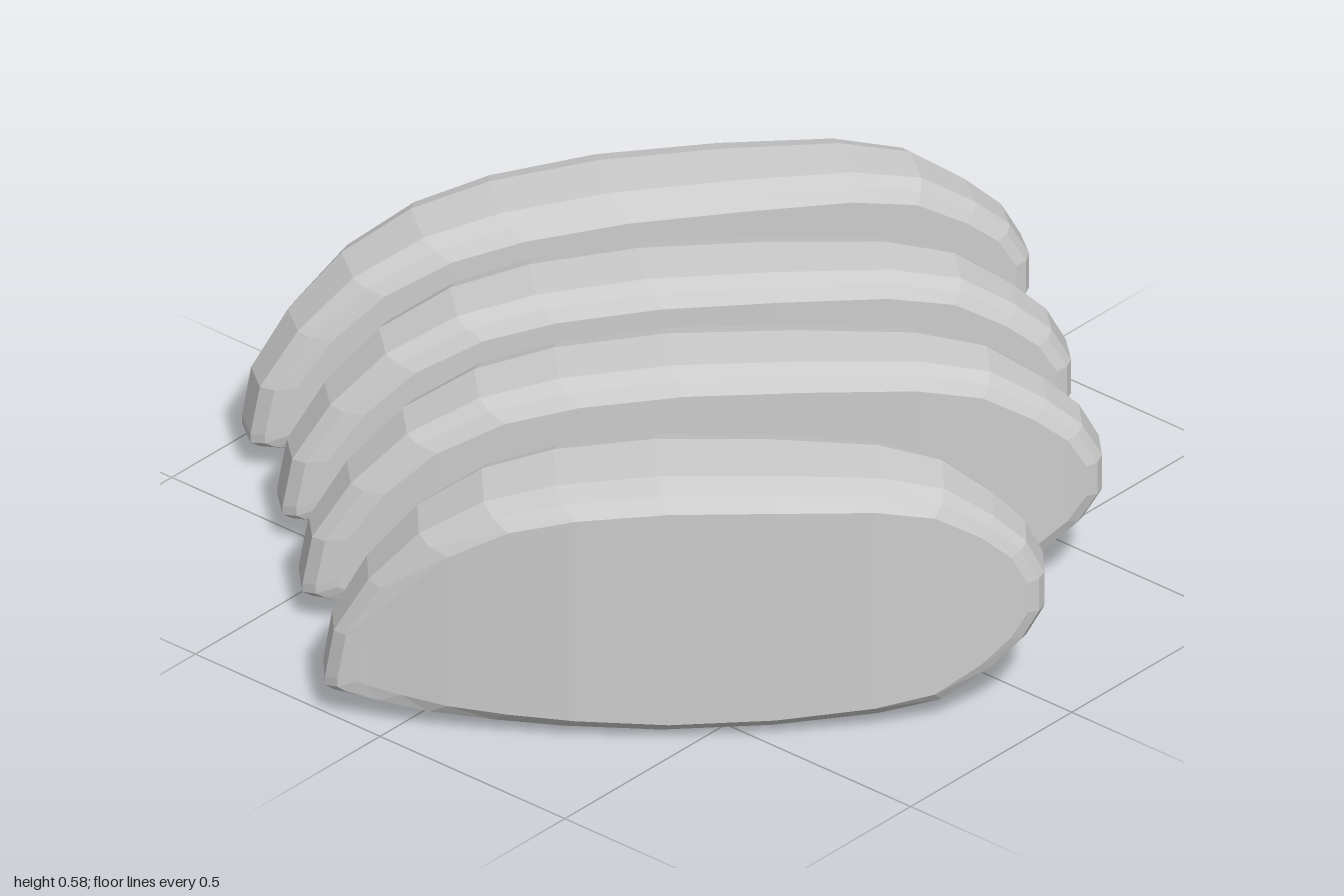
import * as THREE from 'three';

// Outline stations along a slice: [fraction of length, low y, high y, swell of the thickness]
const STATIONS = [
  [0, 0.07, 0.09, 0], [0.012, 0.06, 0.2, 0.03], [0.06, 0.045, 0.325, 0.22], [0.13, 0.03, 0.44, 0.5],
  [0.22, 0.02, 0.52, 0.75], [0.32, 0.01, 0.56, 0.92], [0.46, 0, 0.58, 1], [0.62, 0.005, 0.575, 0.95],
  [0.77, 0.02, 0.56, 0.75], [0.86, 0.04, 0.525, 0.5], [0.93, 0.1, 0.45, 0.2], [0.975, 0.165, 0.385, 0.06],
  [1, 0.23, 0.31, 0],
];

// Layers across the thickness: [fraction of half thickness, amount of rim inset]
const LAYERS = [[1, 1], [0.84, 0.35], [0.5, 0], [-0.5, 0], [-0.84, 0.35], [-1, 1]];

// A slice lying along local x, from the pointed tip to the round end
function sliceGeometry(length, front, back) {
  const n = STATIONS.length, ring = 2 * n, pos = [], index = [];
  const quad = (a, b, c, d) => index.push(a, b, c, a, c, d);

  for (const [f, inset] of LAYERS) {
    const point = ([s, lo, hi, swell], top) => {
      const u = THREE.MathUtils.lerp(0.07 * inset, length - 0.035 * inset, s);
      const y = 0.29 + ((top ? hi : lo) - 0.29) * (1 - 0.14 * inset);
      const half = THREE.MathUtils.lerp(0.08, f > 0 ? front : back, swell);
      pos.push(u, y, f * half);
    };
    STATIONS.forEach((st) => point(st, false));
    [...STATIONS].reverse().forEach((st) => point(st, true));
  }

  // Rim
  for (let l = 0; l < LAYERS.length - 1; l++) {
    for (let i = 0; i < ring; i++) {
      const j = (i + 1) % ring, a = l * ring, b = a + ring;
      quad(a + i, b + i, b + j, a + j);
    }
  }
  // Cut faces in vertical strips
  const last = (LAYERS.length - 1) * ring;
  for (let k = 0; k < n - 1; k++) {
    const top = ring - 1 - k;
    quad(k, k + 1, top - 1, top);
    quad(last + k, last + top, last + top - 1, last + k + 1);
  }

  const geometry = new THREE.BufferGeometry();
  geometry.setAttribute('position', new THREE.Float32BufferAttribute(pos, 3));
  geometry.setIndex(index);
  geometry.computeVertexNormals();
  return geometry;
}

export function createModel() {
  const model = new THREE.Group();
  model.name = 'slices';
  const grey = new THREE.MeshStandardMaterial({ color: 0xcccccc, flatShading: true });
  grey.name = 'light grey';

  // Tip x, z; round end x, z; half thickness of the front and back faces
  const slices = [
    [-0.925, 0.355, 0.04, -0.955, 0.125, 0.14],
    [-0.685, 0.525, 0.385, -0.695, 0.115, 0.135],
    [-0.45, 0.73, 0.685, -0.45, 0.12, 0.137],
    [-0.17, 0.978, 0.905, -0.022, 0.175, 0.125],
  ];
  slices.forEach(([x0, z0, x1, z1, front, back], i) => {
    const mesh = new THREE.Mesh(sliceGeometry(Math.hypot(x1 - x0, z1 - z0), front, back), grey);
    mesh.name = `slice${i + 1}`;
    mesh.position.set(x0, 0, z0);
    mesh.rotation.y = Math.atan2(z0 - z1, x1 - x0);
    model.add(mesh);
  });
  return model;
}
